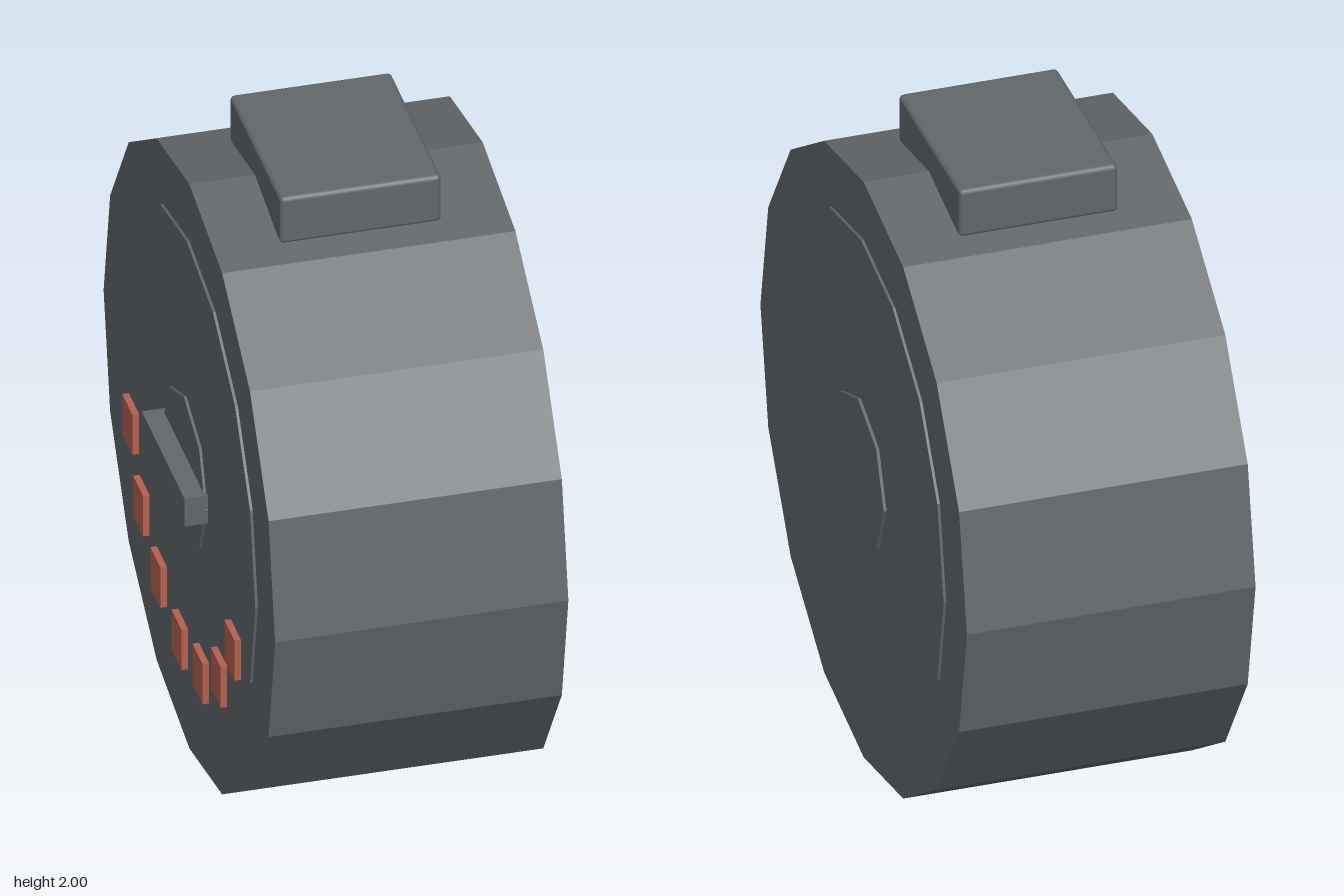
import * as THREE from 'three';
import { RoundedBoxGeometry } from 'three/addons/geometries/RoundedBoxGeometry.js';

const CENTRE_Y = 0.955;

export function createModel() {
  const model = new THREE.Group();
  const casing = new THREE.MeshStandardMaterial({ color: 0x62676a });
  casing.name = 'casingGrey';
  const marker = new THREE.MeshStandardMaterial({ color: 0xb5604f });
  marker.name = 'markerRed';

  const add = (name, geometry, material, x, y, z) => {
    const mesh = new THREE.Mesh(geometry, material);
    mesh.name = name;
    mesh.position.set(x, y, z);
    model.add(mesh);
  };

  // Faceted drum lying along x
  const addDrum = (name, radius, sides, x0, x1) => {
    const geometry = new THREE.CylinderGeometry(radius, radius, x1 - x0, sides)
      .rotateZ(Math.PI / 2).toNonIndexed();
    geometry.computeVertexNormals();
    add(name, geometry, casing, (x0 + x1) / 2, CENTRE_Y, 0);
  };

  // Main body with stepped discs showing on both faces
  addDrum('body', 0.95, 16, -0.403, 0.455);
  addDrum('facePlate', 0.76, 16, -0.411, 0.463);
  addDrum('hub', 0.236, 8, -0.419, 0.472);

  // Push button on top
  add('topButton', new RoundedBoxGeometry(0.472, 0.155, 0.565, 2, 0.014), casing, 0.025, 1.9225, 0);

  // Turning grip on the dial side
  add('dialGrip', new THREE.BoxGeometry(0.07, 0.093, 0.473), casing, -0.444, 0.957, -0.002);

  // Dial markers in an arc below the grip: [z, y]
  const markers = [
    [-0.585, 0.735], [-0.465, 0.535], [-0.275, 0.413], [-0.04, 0.35],
    [0.192, 0.38], [0.395, 0.495], [0.545, 0.68],
  ];
  const tile = new THREE.BoxGeometry(0.022, 0.136, 0.11);
  markers.forEach(([z, y], i) => add(`dialMarker${i + 1}`, tile, marker, -0.419, y, z));

  return model;
}
